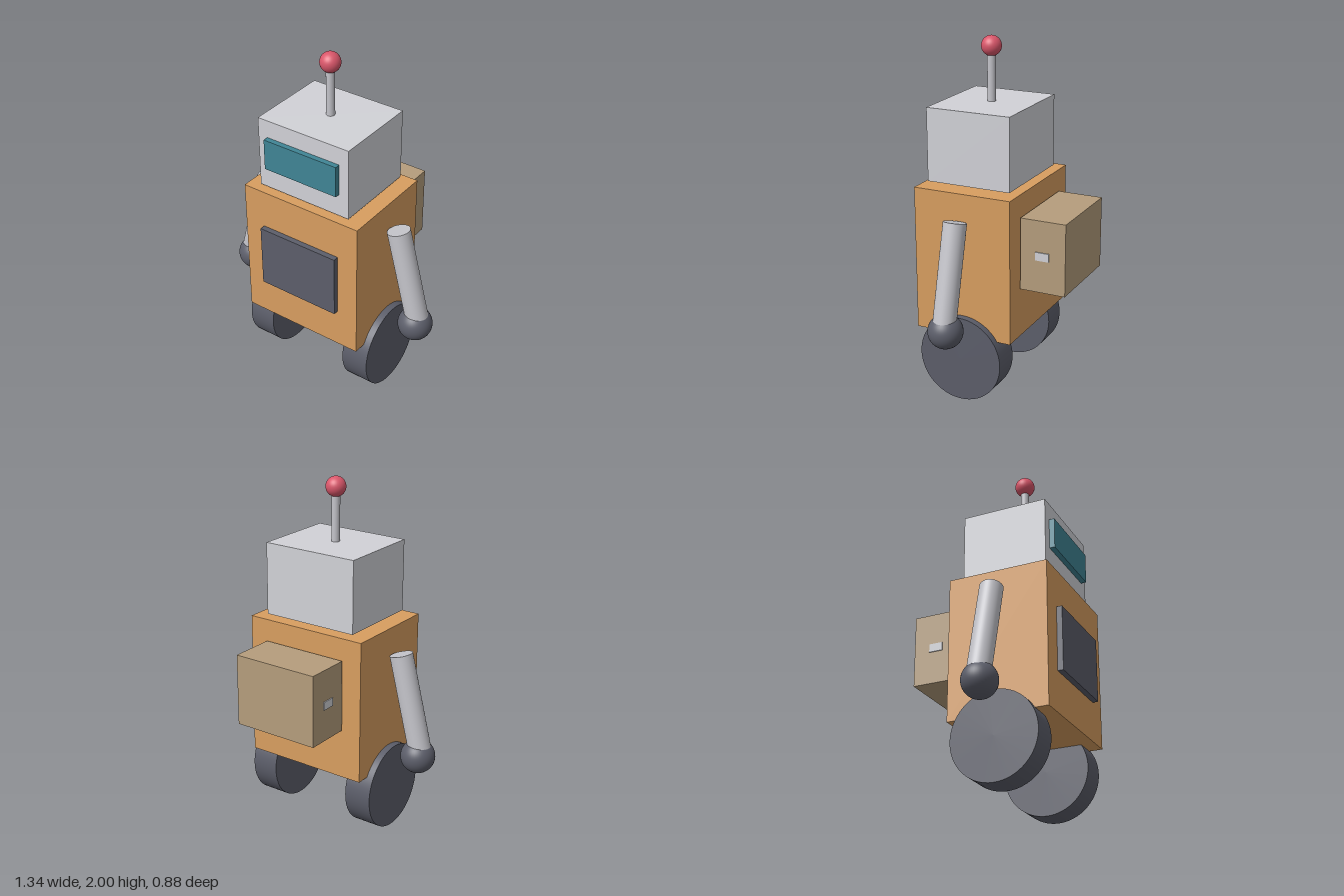
import * as THREE from 'three';

const paint = (color) => new THREE.MeshStandardMaterial({ color });

export function createModel() {
  const robot = new THREE.Group();
  robot.name = 'robot';
  const orange = paint(0xd89e60), pale = paint(0xd1d2d7), steel = paint(0xc4c4ca);
  const dark = paint(0x5c5e6a), teal = paint(0x408595), tan = paint(0xb59d7c), red = paint(0xd9566a);
  const midZ = 0.122; // shared depth of the body, head, arms and wheels

  const add = (name, geometry, material, x, y, z) => {
    const mesh = new THREE.Mesh(geometry, material);
    mesh.name = name;
    mesh.position.set(x, y, z);
    robot.add(mesh);
    return mesh;
  };
  // Box given by its width, and its lower and upper limits in y and z
  const box = (name, material, width, y0, y1, z0, z1, x = 0) =>
    add(name, new THREE.BoxGeometry(width, y1 - y0, z1 - z0), material, x, (y0 + y1) / 2, (z0 + z1) / 2);

  // Body and head
  box('body', orange, 0.746, 0.376, 1.205, -0.168, 0.411);
  box('chestPanel', dark, 0.497, 0.61, 0.98, 0.38, 0.443);
  box('head', pale, 0.58, 1.222, 1.637, -0.126, 0.371);
  box('visor', teal, 0.464, 1.355, 1.535, 0.34, 0.402);

  // Antenna
  add('antennaRod', new THREE.CylinderGeometry(0.024, 0.024, 0.3, 32), steel, 0, 1.782, midZ);
  add('antennaBall', new THREE.SphereGeometry(0.057, 32, 24), red, 0, 1.943, midZ);

  // Backpack
  box('backpack', tan, 0.516, 0.667, 1.08, -0.441, -0.176);

  for (const side of [1, -1]) {
    const label = side > 0 ? 'left' : 'right';
    // Buckle on the backpack's side
    box(label + 'Buckle', pale, 0.02, 0.853, 0.9, -0.347, -0.267, side * 0.254);

    // Arm leaning outwards, with a ball hand
    const arm = add(label + 'Arm', new THREE.CylinderGeometry(0.065, 0.065, 0.55, 40), steel, side * 0.513, 0.802, midZ);
    arm.rotation.z = side * 0.25;
    add(label + 'Hand', new THREE.SphereGeometry(0.098, 40, 28), dark, side * 0.572, 0.485, midZ);

    // Wheel
    const wheel = add(label + 'Wheel', new THREE.CylinderGeometry(0.248, 0.248, 0.163, 64), dark, side * 0.332, 0.248, midZ);
    wheel.rotation.z = Math.PI / 2;
  }
  return robot;
}
